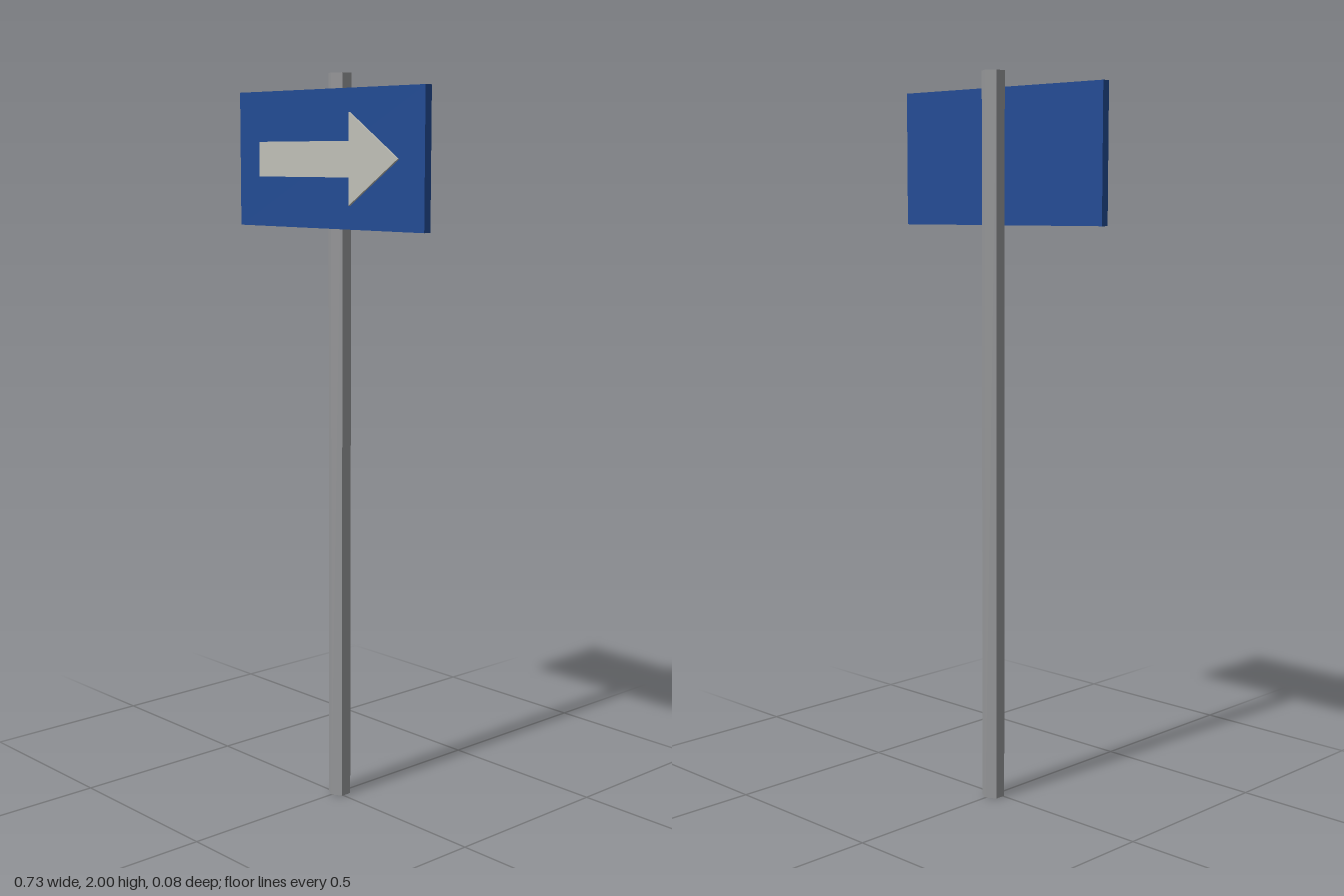
import * as THREE from 'three';

const material = (name, color) => {
  const m = new THREE.MeshStandardMaterial({ color });
  m.name = name;
  return m;
};

export function createModel() {
  const steel = material('steel grey', 0x98999b);
  steel.flatShading = true;
  const blue = material('sign blue', 0x224b94);
  const pale = material('arrow pale grey', 0xbfbfb7);

  const model = new THREE.Group();
  model.name = 'directionSign';
  const add = (name, geometry, mat, x, y, z) => {
    const mesh = new THREE.Mesh(geometry, mat);
    mesh.name = name;
    mesh.position.set(x, y, z);
    model.add(mesh);
  };

  const signY = 1.776;

  // Six-sided post
  add('post', new THREE.CylinderGeometry(0.0315, 0.0315, 2, 6), steel, 0, 1, -0.011);

  // Board fixed to the front of the post
  add('board', new THREE.BoxGeometry(0.726, 0.364, 0.022), blue, 0, signY, 0.0235);

  // Raised arrow: a bar and a triangular head
  add('arrowBar', new THREE.BoxGeometry(0.363, 0.094, 0.007), pale, -0.0915, signY, 0.0375);
  const head = new THREE.Shape([
    new THREE.Vector2(0, -0.12),
    new THREE.Vector2(0.182, 0),
    new THREE.Vector2(0, 0.12),
  ]);
  add('arrowHead', new THREE.ExtrudeGeometry(head, { depth: 0.007, bevelEnabled: false }),
    pale, 0.09, signY, 0.034);

  return model;
}
